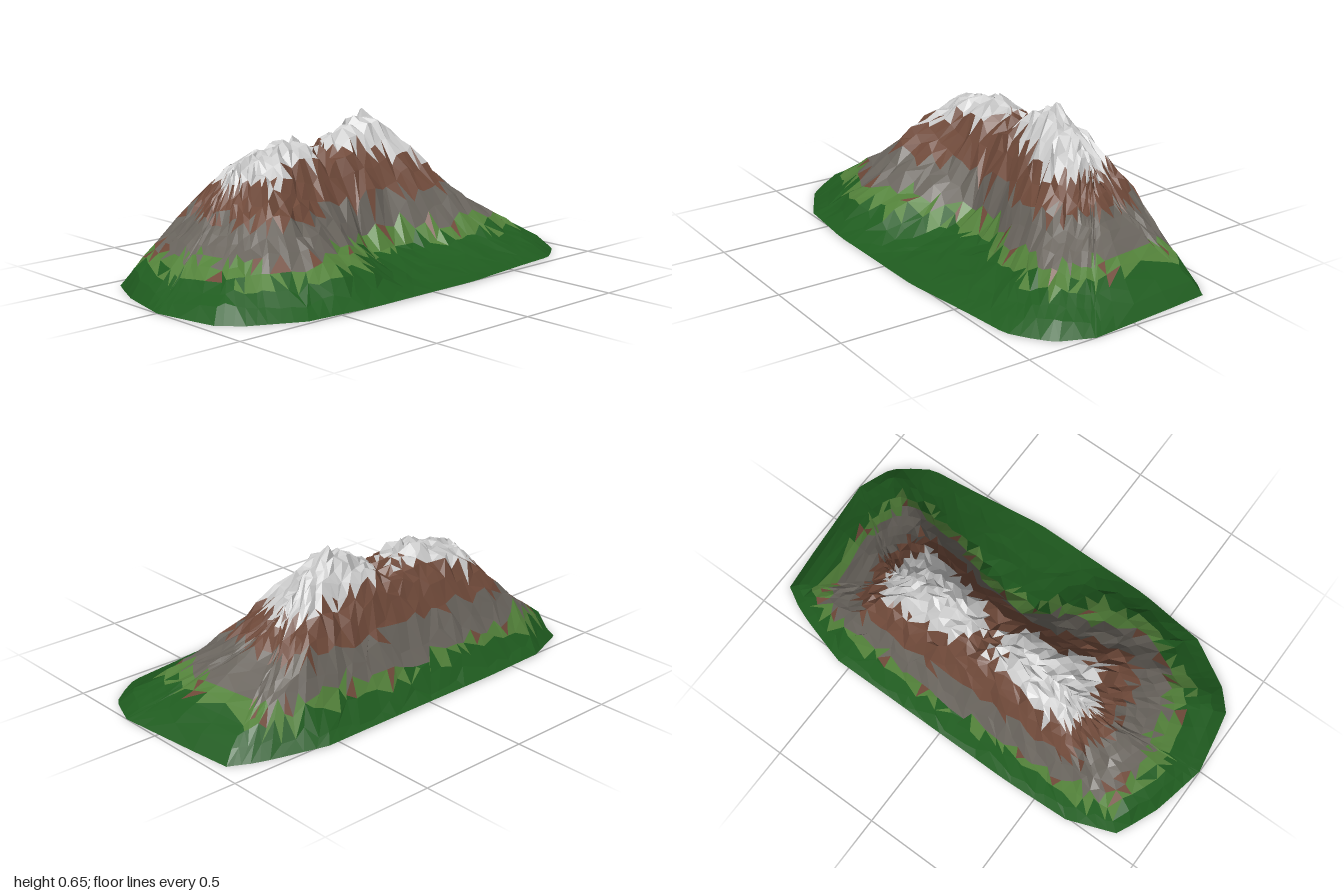
import * as THREE from 'three';

// Linear lookup: rows of [key, v0, v1, ...] sorted by key
function lookup(rows, key) {
  let i = 0;
  while (i < rows.length - 2 && key > rows[i + 1][0]) i++;
  const a = rows[i], b = rows[i + 1];
  const f = THREE.MathUtils.clamp((key - a[0]) / (b[0] - a[0]), 0, 1);
  return a.slice(1).map((v, k) => v + (b[k + 1] - v) * f);
}

// Repeatable noise in 0..1 from two numbers
function noise(a, b) {
  const s = Math.sin(a * 127.1 + b * 311.7) * 43758.5453;
  return s - Math.floor(s);
}

// Footprint: z, left edge x, right edge x
const RIM = [
  [-1, 0.19, 0.19], [-0.95, -0.38, 0.32], [-0.93, -0.39, 0.35], [-0.86, -0.43, 0.405],
  [-0.78, -0.46, 0.455], [-0.56, -0.525, 0.48], [-0.22, -0.525, 0.525], [0.35, -0.525, 0.525],
  [0.66, -0.51, 0.49], [0.87, -0.43, 0.37], [0.95, -0.24, 0.28], [1, 0, 0],
];

// Height of the crest along z
const CREST = [
  [-1, 0], [-0.9, 0.075], [-0.8, 0.15], [-0.7, 0.23], [-0.6, 0.305], [-0.5, 0.415], [-0.45, 0.48], [-0.35, 0.57],
  [-0.25, 0.645], [-0.15, 0.59], [-0.08, 0.55], [0, 0.505], [0.07, 0.525], [0.15, 0.56], [0.25, 0.555],
  [0.35, 0.525], [0.47, 0.485], [0.55, 0.385], [0.65, 0.28], [0.75, 0.205], [0.85, 0.12], [0.95, 0.035], [1, 0],
];

// Line of the crest seen from above: z, x
const CREST_LINE = [[-0.75, -0.06], [-0.5, -0.17], [0.5, -0.16], [0.75, -0.12]];

// Steep side: distance from the left edge, height
const LEFT = [
  [0, 0.005], [0.025, 0.033], [0.075, 0.115], [0.125, 0.22], [0.165, 0.32],
  [0.2, 0.41], [0.25, 0.495], [0.35, 0.65], [0.5, 0.85],
];

// Side with two spurs and a hollow: z, x of the 0.46, 0.3, 0.17 and 0.11 contours
const RIGHT = [
  [-0.8, -0.04, 0.1, 0.2, 0.24], [-0.6, -0.02, 0.1, 0.2, 0.25], [-0.4, -0.015, 0.09, 0.17, 0.21],
  [-0.2, -0.03, 0.06, 0.1, 0.13], [0, -0.05, 0.035, 0.08, 0.13], [0.2, -0.04, 0.06, 0.22, 0.36],
  [0.45, -0.04, 0.16, 0.3, 0.41], [0.6, -0.03, 0.14, 0.25, 0.34], [0.8, -0.05, 0.05, 0.15, 0.25],
];

const RIDGE_X = -0.17;

function groundHeight(x, z) {
  const [rimL, rimR] = lookup(RIM, z);
  const [crest] = lookup(CREST, z);
  const cap = crest * (1 - 0.75 * Math.abs(x - lookup(CREST_LINE, z)[0]));
  const left = lookup(LEFT, x - rimL)[0];
  const [a, b, c, d] = lookup(RIGHT, z);
  const edge = Math.max(rimR, d + 0.02);
  const right = lookup([
    [a - 0.2, 0.77], [a, 0.46], [b, 0.3], [c, 0.17], [d, 0.11], [d + (edge - d) * 0.45, 0.055], [edge, 0.005],
  ], x)[0];
  return Math.max(0.004, Math.min(cap, left, right));
}

// Grid fanning from the crest line (column 0) out to the edge, finer towards the top
const ROWS = 48, HALF = 13;

function terrainPoint(i, j) {
  const rimZ = -Math.cos(Math.PI * i / ROWS);
  const rim = lookup(RIM, rimZ);
  const out = Math.pow(Math.abs(j) / HALF, 1.25);
  let x = THREE.MathUtils.lerp(RIDGE_X, rim[j < 0 ? 0 : 1], out);
  let z = rimZ * THREE.MathUtils.lerp(0.5, 1, out);
  if (Math.abs(j) === HALF) return new THREE.Vector3(x, 0.008 * (1 - rimZ * rimZ), z);

  // The first and last rows are seams shared by both halves
  const seam = i === 0 || i === ROWS;
  const n = seam ? Math.abs(j) : j;
  // Shift less where the rows crowd together at the ends
  const spread = Math.sin(Math.PI * i / ROWS);
  if (!seam) {
    const shift = (0.02 + 0.02 * out) * spread;
    x += (noise(i, n) - 0.5) * shift;
    z += (noise(i + 91, n) - 0.5) * shift;
  }
  let y = groundHeight(x, z);
  const rough = Math.min(1, y / 0.4) * (0.4 + 0.6 * spread);
  y += (noise(i + 17, n + 53) - 0.55) * 0.045 * rough;
  y += (noise(i, 77) - 0.55) * 0.025 * Math.sin(Math.PI * out) * rough;
  return new THREE.Vector3(x, Math.max(0.006, y), z);
}

// Height bands from the foot to the summit
const BANDS = [
  ['forestFoot', 0x1f5c1f], ['grassBelt', 0x53823a], ['greyRockBelt', 0x6a655e],
  ['brownRockSlope', 0x704a3a], ['snowCap', 0xc6c6c6],
];

function bandOf(y, z, r) {
  const h = y + (r - 0.5) * 0.05;
  if (h > 0.52 - 0.22 * Math.abs(z)) return 4;
  if (h > 0.3) return 3;
  if (h > 0.15 && h < 0.2 && r > 0.88) return 3;
  if (h > 0.17) return 2;
  return h > 0.115 ? 1 : 0;
}

export function createModel() {
  const group = new THREE.Group();
  group.name = 'mountain';

  const grid = [];
  for (let i = 0; i <= ROWS; i++) {
    grid.push([]);
    for (let j = -HALF; j <= HALF; j++) grid[i].push(terrainPoint(i, j));
  }

  // Sort each triangle into its height band
  const bands = BANDS.map(() => []);
  const addTriangle = (a, b, c, r) => {
    const y = (a.y + b.y + c.y) / 3, z = (a.z + b.z + c.z) / 3;
    bands[bandOf(y, z, r)].push(a, b, c);
  };
  for (let i = 0; i < ROWS; i++) {
    for (let j = 0; j < 2 * HALF; j++) {
      const a = grid[i][j], b = grid[i + 1][j], c = grid[i + 1][j + 1], d = grid[i][j + 1];
      const r = noise(i + 5, j + 29), s = noise(i + 63, j + 11);
      if (noise(i, j + 200) > 0.5) {
        addTriangle(a, b, c, r);
        addTriangle(a, c, d, s);
      } else {
        addTriangle(a, b, d, r);
        addTriangle(b, c, d, s);
      }
    }
  }

  BANDS.forEach(([name, color], k) => {
    const geometry = new THREE.BufferGeometry().setFromPoints(bands[k]);
    geometry.computeVertexNormals();
    const material = new THREE.MeshStandardMaterial({ color, flatShading: true, side: THREE.DoubleSide });
    const mesh = new THREE.Mesh(geometry, material);
    mesh.name = name;
    group.add(mesh);
  });
  return group;
}
